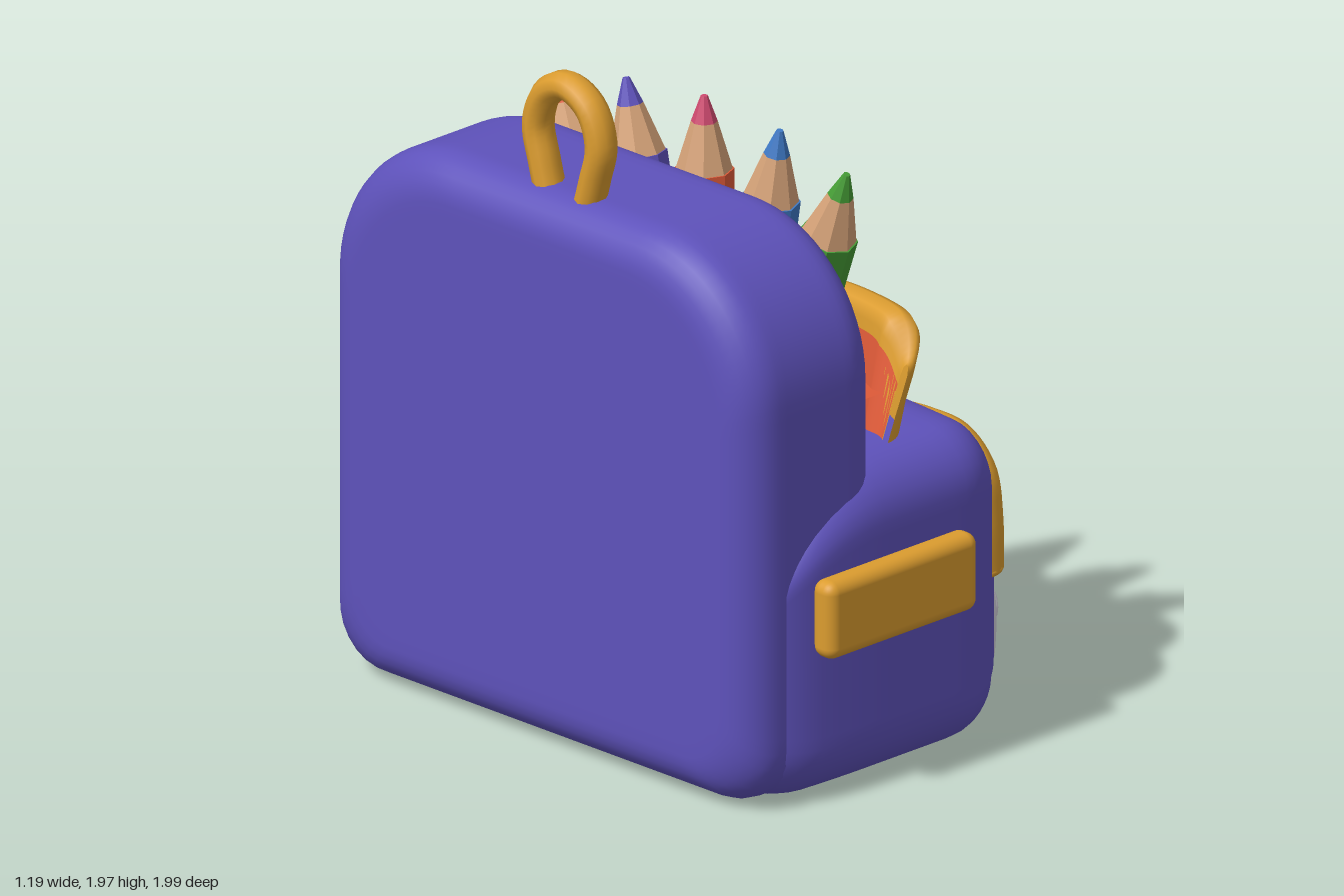
import * as THREE from 'three';
import { mergeVertices, toCreasedNormals } from 'three/addons/utils/BufferGeometryUtils.js';
import { RoundedBoxGeometry } from 'three/addons/geometries/RoundedBoxGeometry.js';

const mat = (name, color, side = THREE.FrontSide) => {
  const m = new THREE.MeshStandardMaterial({ color, side });
  m.name = name;
  return m;
};

export function createModel() {
  const M = {
    purple: mat('purple', 0x5e52bb),
    gold: mat('gold', 0xdb9c2f, THREE.DoubleSide),
    coral: mat('coral', 0xde5a38, THREE.DoubleSide),
    pink: mat('pink', 0xcf4a70),
    violet: mat('violetBlue', 0x4c52b8),
    blue: mat('blue', 0x3f7ac6),
    green: mat('green', 0x469d36),
    white: mat('white', 0xd3d1db),
    wood: mat('wood', 0xd5a278),
  };
  // Built facing +z, then turned so the front faces +x.
  const bag = new THREE.Group();
  bag.name = 'schoolBag';
  bag.rotation.y = Math.PI / 2;

  const add = (name, geo, m, x = 0, y = 0, z = 0, parent = bag) => {
    const mesh = new THREE.Mesh(geo, m);
    mesh.name = name;
    mesh.position.set(x, y, z);
    parent.add(mesh);
    return mesh;
  };
  const flat = (g) => {
    const f = g.index ? g.toNonIndexed() : g;
    f.computeVertexNormals();
    return f;
  };
  // The bag is set slightly askew, and its front is bowed
  const skew = (x) => 0.04 * x;
  const sq = (x) => (x + 0.03) ** 2;
  const bowed = (x) => skew(x) + 0.08 * sq(x);

  // Smooth surface from a rule f(s, t)
  function grid(ns, nt, f) {
    const pos = [], idx = [];
    for (let j = 0; j <= nt; j++) for (let i = 0; i <= ns; i++) pos.push(...f(i / ns, j / nt));
    for (let j = 0; j < nt; j++) for (let i = 0; i < ns; i++) {
      const a = j * (ns + 1) + i, b = a + ns + 1;
      idx.push(a, a + 1, b, a + 1, b + 1, b);
    }
    const g = new THREE.BufferGeometry();
    g.setAttribute('position', new THREE.Float32BufferAttribute(pos, 3));
    g.setIndex(idx);
    g.computeVertexNormals();
    return g;
  }
  // Padded slab: rings of a rounded outline from back centre to front centre; warp moves its points
  function slab(x0, x1, y0, y1, rTop, rBot, z0, z1, bevel, round, warp = () => {}) {
    const s = new THREE.Shape();
    const k = 0.45;
    s.moveTo(x0 + rBot, y0).lineTo(x1 - rBot, y0);
    s.bezierCurveTo(x1 - rBot * k, y0, x1, y0 + rBot * k, x1, y0 + rBot);
    s.lineTo(x1, y1 - rTop);
    s.bezierCurveTo(x1, y1 - rTop * k, x1 - rTop * k, y1, x1 - rTop, y1);
    s.lineTo(x0 + rTop, y1);
    s.bezierCurveTo(x0 + rTop * k, y1, x0, y1 - rTop * k, x0, y1 - rTop);
    s.lineTo(x0, y0 + rBot);
    s.bezierCurveTo(x0, y0 + rBot * k, x0 + rBot * k, y0, x0 + rBot, y0);
    const pts = s.getSpacedPoints(140);
    const half = [0, 0.2, 0.4, 0.6, 0.8, 0.94].map((c) => [bevel, c, 0]);
    for (let i = 0; i <= 7; i++) {
      const a = (i / 14) * Math.PI;
      half.push([bevel * (1 - Math.sin(a)), 1, round * (1 - Math.cos(a))]);
    }
    const rings = half.map(([b, c, d]) => [b, c, z0 + d]);
    for (let i = 1; i < 10; i++) rings.push([0, 1, z0 + round + (z1 - z0 - 2 * round) * i / 10]);
    rings.push(...half.reverse().map(([b, c, d]) => [b, c, z1 - d]));
    const cx = (x0 + x1) / 2, cy = (y0 + y1) / 2, hx = (x1 - x0) / 2, hy = (y1 - y0) / 2;
    const v = new THREE.Vector3();
    let g = grid(140, rings.length - 1, (a, t) => {
      const p = pts[Math.round(a * 140) % 140];
      const [b, c, z] = rings[Math.round(t * (rings.length - 1))];
      v.set(cx + (p.x - cx) * c * (1 - b / hx), cy + (p.y - cy) * c * (1 - b / hy), z);
      warp(v);
      return [v.x, v.y, v.z - skew(v.x)];
    });
    g.deleteAttribute('normal');
    g = mergeVertices(g, 1e-5);
    g.computeVertexNormals();
    return g;
  }
  const tube = (pts, r, n = 40) => new THREE.TubeGeometry(
    new THREE.CatmullRomCurve3(pts.map((p) => new THREE.Vector3(...p))), n, r, 10);
  const ball = (name, m, x, y, z, rx, ry, rz) =>
    add(name, new THREE.SphereGeometry(1, 18, 12), m, x, y, z).scale.set(rx, ry, rz);

  // Main padded bodies
  add('backBody', slab(-0.88, 0.75, 0.01, 1.63, 0.43, 0.16, -0.575, -0.06, 0.12, 0.12), M.purple);
  add('backInnerPanel', slab(-0.72, 0.6, 0.6, 1.52, 0.35, 0.1, -0.2, 0.005, 0.06, 0.06), M.purple);
  // Lower body: bowed front, shoulders rounding down to the back, a dent where the loose strap leaves
  add('lowerBody', slab(-0.92, 0.81, 0, 0.93, 0.16, 0.16, -0.5, 0.43, 0.09, 0.18, (v) => {
    const back = Math.max(0, (-v.z - 0.08) / 0.4) ** 2;
    if (v.y > 0.4) v.y -= (v.y - 0.4) * 0.45 * back;
    v.x *= 1 - 0.03 * back;
    if (v.x > 0.5) v.x -= 0.12 * Math.exp(-((v.y - 0.6) ** 2) / 0.04 - ((v.z - 0.12) ** 2) / 0.018);
    if (v.z > 0) v.z -= 0.18 * v.z * sq(v.x);
  }), M.purple);
  add('frontPocket', slab(-0.82, 0.755, 0.015, 0.835, 0.2, 0.16, 0.25, 0.505, 0.07, 0.07, (v) => {
    if (v.y > 0.7) v.y -= 0.25 * (v.y - 0.7) * Math.exp(-sq(v.x) / 0.1);
    v.z -= 0.08 * sq(v.x);
  }), M.purple);

  // Carry loop
  add('carryLoop', tube([[-0.14, 1.56, 0], [-0.175, 1.68, 0], [-0.2, 1.79, 0], [-0.16, 1.89, 0],
    [-0.07, 1.93, 0], [0.01, 1.89, 0], [0.05, 1.79, 0], [0.025, 1.68, 0], [-0.01, 1.56, 0]], 0.042),
  M.gold, 0, 0, -0.45).scale.z = 1.15;

  // Side straps: one lies along the side, one sticks out
  add('sideStrap', new RoundedBoxGeometry(0.085, 0.23, 0.57, 4, 0.035), M.gold, -0.945, 0.565, -0.045);
  add('looseStrap', new RoundedBoxGeometry(0.36, 0.18, 0.05, 3, 0.02), M.gold, 0.82, 0.55, 0.145);

  // Upper pocket: curved leaning wall with a rolled rim, thinning towards its ends
  const wall = (c, y, off) => {
    const s = Math.sqrt(Math.max(0, 1 - c * c));
    const nx = c / 0.73, nz = s / 0.26, n = Math.hypot(nx, nz) / Math.min(1, 0.25 + 2 * s);
    const x = -0.05 + 0.73 * c + off * nx / n;
    return [x, y, 0.045 + 0.25 * s + 0.4 * (y - 0.93) * (1 - s) + off * nz / n - 1.3 * skew(x)];
  };
  const rimY = (c) => 1.255 - 0.075 * Math.exp(-((c / 0.3) ** 2)) - 0.12 * Math.abs(c) ** 24;
  const profile = [[0, 0], [0.5, 0], [0.75, 0.008], [0.9, 0.008], [0.97, -0.01], [1, -0.04],
    [0.97, -0.075], [0.88, -0.09], [0, -0.08]];
  add('upperPocket', grid(64, profile.length - 1, (s, t) => {
    const c = -Math.cos(Math.PI * s);
    const [f, off] = profile[Math.round(t * (profile.length - 1))];
    return wall(c, 0.86 + (rimY(c) - 0.86) * f, off);
  }), M.gold);
  add('pocketLining', grid(48, 1, (s, t) => {
    const c = -Math.cos(Math.PI * s);
    return wall(c, 0.86 + (rimY(c) - 0.86) * 0.8 * t, -0.092);
  }), M.coral);
  add('pocketFloor', grid(32, 1, (s, t) => {
    const c = -0.95 * Math.cos(Math.PI * s), p = wall(c, 1.04, -0.06);
    return [p[0], 1.04, t ? -skew(p[0]) : p[2]];
  }), M.coral);

  // Rainbow arcs on the pocket, each layer a hair above the last
  [['rainbowOuter', 0.62, 0.26, M.coral], ['rainbowMiddle', 0.5, 0.165, M.pink],
    ['rainbowInner', 0.36, 0.09, M.violet]].forEach(([name, w, h, m], k) =>
    add(name, grid(48, 6, (s, t) => {
      const q = -Math.cos(Math.PI * s);
      return wall(q * w / 0.73, 0.87 + h * Math.sqrt(Math.max(0, 1 - q * q)) * t, 0.011 + 0.004 * k);
    }), m));
  [[0.47, 0.98, 0.2, 0.07, 0.08], [0.56, 1.0, 0.15, 0.08, 0.09], [0.52, 0.94, 0.18, 0.12, 0.07],
    [0.51, 1.02, 0.18, 0.06, 0.065]]
    .forEach(([x, y, z, rx, ry]) => ball('pocketCloud', M.white, x, y, z, rx, ry, 0.055));

  // Pencils
  function pencil(tx, ty, z, bx, by, m, tipMat) {
    const g = new THREE.Group();
    g.name = 'pencil';
    const a = Math.atan2(tx - bx, ty - by);
    g.position.set(tx, ty, z);
    g.rotation.z = -a;
    bag.add(g);
    const part = (name, r0, r1, d0, d1, mm) => add(name,
      flat(new THREE.CylinderGeometry(r0, r1, d1 - d0, 8)), mm, 0, -(d0 + d1) / 2, 0, g);
    const end = (ty - 1.24) / Math.cos(a);
    part('pencilTip', 0.01, 0.037, 0, 0.075, tipMat);
    part('pencilWood', 0.037, 0.08, 0.075, 0.22, M.wood);
    part('pencilShaft', 0.083, 0.083, 0.215, end, m);
    part('pencilBase', 0.083, 0.083, end, end + 0.26, M.pink);
  }
  pencil(-0.585, 1.66, 0.115, -0.44, 1.25, M.green, M.green);
  pencil(-0.335, 1.72, 0.1, -0.25, 1.22, M.blue, M.blue);
  pencil(-0.045, 1.74, 0.09, -0.045, 1.22, M.coral, M.pink);
  pencil(0.25, 1.71, 0.075, 0.145, 1.22, M.purple, M.purple);
  pencil(0.5, 1.65, 0.055, 0.345, 1.23, M.coral, M.coral);

  // Front zip arch along the pocket edge
  const zip = [[-0.79, 0.45], [-0.788, 0.6], [-0.76, 0.73], [-0.66, 0.805], [-0.5, 0.81], [-0.3, 0.785],
    [-0.03, 0.77], [0.25, 0.785], [0.45, 0.81], [0.6, 0.805], [0.695, 0.73], [0.723, 0.6], [0.725, 0.45]];
  const zipZ = (x) => 0.46 - bowed(x);
  const wide = 1.65;
  add('zipArch', tube(zip.map(([x, y]) => [x, y, zipZ(x) / wide]), 0.037, 90), M.gold).scale.z = wide;
  [zip[0], zip[12]].forEach(([x, y]) => ball('zipEnd', M.gold, x, y, zipZ(x), 0.037, 0.02, 0.06));

  // Bow-shaped zip pulls
  function bow(x, y, z, reach) {
    ball('bowKnot', M.gold, x, y, z, 0.042, 0.036, 0.038);
    for (const s of [-1, 1]) {
      add('bowLoop', tube([[0, 0, 0], [s * 0.06, 0.025, 0.01], [s * 0.11, 0.015, 0], [s * 0.07, -0.018, 0.01],
        [0, 0, 0]], 0.021, 20), M.gold, x, y, z);
      add('bowTail', tube([[s * 0.01, 0, 0], [s * 0.045, -0.05, reach * 0.5], [s * 0.075, -0.12, reach]], 0.027, 12),
        M.gold, x, y, z);
      ball('bowTailEnd', M.gold, x + s * 0.075, y - 0.12, z + reach, 0.036, 0.042, 0.026);
    }
  }
  bow(-0.025, 1.165, 0.3, 0.06);
  bow(-0.015, 0.78, 0.51, 0.05);

  // Cloud banks on the front pocket, mirrored
  const bankEdge = [[-0.71, 0.105], [-0.75, 0.16], [-0.755, 0.33], [-0.7, 0.4], [-0.63, 0.375], [-0.59, 0.33],
    [-0.52, 0.36], [-0.45, 0.33], [-0.42, 0.26], [-0.35, 0.265], [-0.28, 0.23], [-0.25, 0.105]];
  for (const s of [-1, 1]) {
    const pts = bankEdge.map(([x, y]) => new THREE.Vector2(s < 0 ? x : -0.06 - x, y));
    const outline = new THREE.Shape().moveTo(pts[0].x, pts[0].y).splineThru(pts.slice(1));
    let g = new THREE.ExtrudeGeometry(outline, {
      depth: 0.05, curveSegments: 60, bevelSegments: 4, bevelSize: 0.025, bevelOffset: -0.025, bevelThickness: 0.03,
    });
    const p = g.attributes.position;
    for (let i = 0; i < p.count; i++) p.setZ(i, p.getZ(i) - bowed(p.getX(i)));
    g.deleteAttribute('uv');
    g.deleteAttribute('normal');
    g = toCreasedNormals(mergeVertices(g, 1e-4), 0.7);
    add('cloudBank', g, M.white, 0, 0, 0.465);
    for (const [x0, y, r] of [[-0.67, 0.3, 0.08], [-0.53, 0.24, 0.09], [-0.64, 0.18, 0.07]]) {
      const x = s < 0 ? x0 : -0.06 - x0;
      ball('cloudPuff', M.white, x, y, 0.53 - bowed(x), r, r, 0.04);
    }
  }
  for (const [x, y, k] of [[-0.555, 0.6, 1], [0.515, 0.59, 1.1], [-0.595, 0.48, 0.35], [0.58, 0.48, 0.3]])
    for (const [dx, dy, rx, ry] of [[-0.035, -0.012, 0.045, 0.035], [0.04, -0.012, 0.045, 0.035],
      [0.005, 0.014, 0.05, 0.042], [0, -0.025, 0.06, 0.024]])
      ball('smallCloud', M.white, x + dx * k, y + dy * k, 0.505 - bowed(x), rx * k, ry * k, 0.035);

  // Stars
  function star(name, x, y, r, n, inner, m) {
    const s = new THREE.Shape(Array.from({ length: 2 * n }, (_, i) => {
      const a = Math.PI * (i / n + 0.5), q = i % 2 ? r * inner : r;
      return new THREE.Vector2(q * Math.cos(a), q * Math.sin(a));
    }));
    add(name, new THREE.ExtrudeGeometry(s, { depth: r * 0.5, bevelEnabled: false }), m, x, y, 0.5 - bowed(x));
  }
  [[-0.32, 0.55, 0.055], [0.295, 0.585, 0.05], [-0.38, 0.285, 0.028], [0.375, 0.285, 0.028]]
    .forEach(([x, y, r]) => star('goldStar', x, y, r, 5, 0.6, M.gold));
  for (const x of [-0.455, 0.43]) {
    star('blueStar', x, 0.415, 0.08, 7, 0.58, M.blue);
    ball('blueStarCloud', M.white, x, 0.37, 0.53 - bowed(x), 0.04, 0.025, 0.02);
  }

  // Castle
  add('castleWall', new THREE.BoxGeometry(0.4, 0.18, 0.06), M.white, -0.01, 0.19, 0.51);
  for (let i = 0; i < 5; i++)
    add('battlement', new THREE.BoxGeometry(0.03, 0.04, 0.05), M.white, -0.13 + i * 0.06, 0.295, 0.51);
  const tower = (x, r, top, roofR, roofTop, flag) => {
    add('tower', new THREE.CylinderGeometry(r, r, top - 0.1, 12), M.white, x, (top + 0.1) / 2, 0.5).scale.z = 0.8;
    add('towerRoof', flat(new THREE.ConeGeometry(roofR, roofTop - top, 10)), M.coral, x, (top + roofTop) / 2, 0.5);
    if (!flag) return;
    add('flagPole', new THREE.CylinderGeometry(0.006, 0.006, 0.06, 6), M.gold, x, roofTop + 0.02, 0.51);
    add('flag', new THREE.BoxGeometry(flag, flag * 0.6, 0.03), M.gold, x + flag / 2, roofTop + 0.035, 0.51);
  };
  tower(-0.015, 0.068, 0.41, 0.09, 0.555, 0.085);
  tower(-0.22, 0.055, 0.3, 0.08, 0.43, 0.045);
  tower(0.195, 0.055, 0.3, 0.08, 0.43, 0.045);
  tower(-0.1, 0.032, 0.33, 0.042, 0.4, 0);
  tower(0.08, 0.032, 0.33, 0.042, 0.4, 0);
  for (const [x, y, z] of [[-0.015, 0.345, 0.553], [-0.22, 0.23, 0.543], [0.195, 0.23, 0.543],
    [-0.1, 0.22, 0.541], [0.08, 0.22, 0.541]])
    add('castleWindow', new THREE.BoxGeometry(0.026, 0.044, 0.009), M.blue, x, y, z);
  for (const [r, m, z] of [[0.048, M.coral, 0.556], [0.036, M.pink, 0.56]]) {
    const d = new THREE.Shape().moveTo(-r, 0).lineTo(r, 0).lineTo(r, 0.025).absarc(0, 0.025, r, 0, Math.PI, false);
    add('castleDoor', new THREE.ExtrudeGeometry(d, { depth: 0.005, bevelEnabled: false }), m, -0.01, 0.1, z);
  }

  const root = new THREE.Group();
  root.name = 'backpack';
  root.add(bag);
  return root;
}
